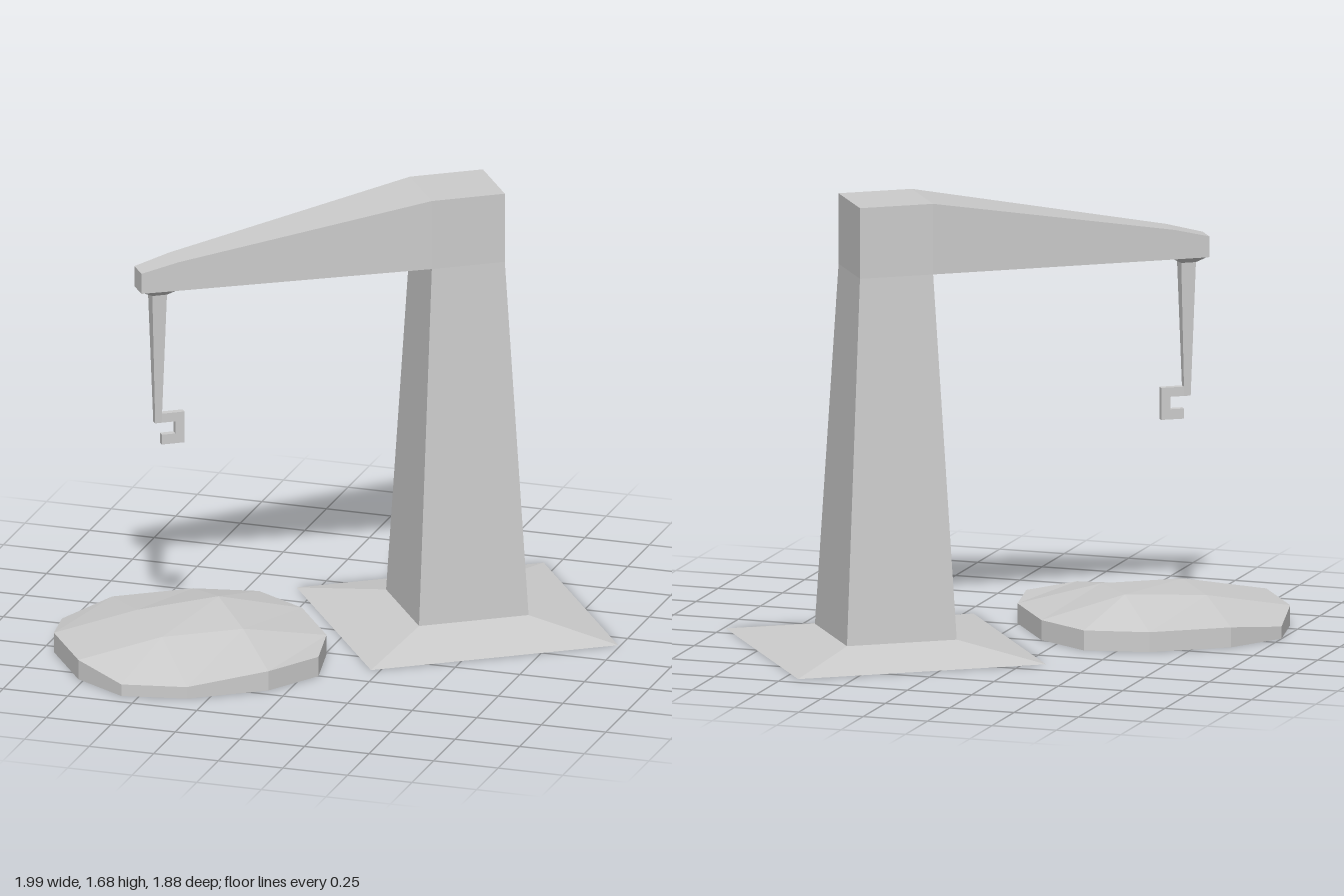
import * as THREE from 'three';

const material = new THREE.MeshStandardMaterial({ color: 0xcccccc, flatShading: true });

function addMesh(parent, name, geometry) {
  const flat = geometry.toNonIndexed();
  flat.computeVertexNormals();
  const mesh = new THREE.Mesh(flat, material);
  mesh.name = name;
  parent.add(mesh);
  return mesh;
}

// Box whose vertices are moved by a rule
function shapedBox(segX, segZ, rule) {
  const g = new THREE.BoxGeometry(1, 1, 1, segX, 1, segZ);
  const p = g.attributes.position;
  for (let i = 0; i < p.count; i++) {
    p.setXYZ(i, ...rule(p.getX(i), p.getY(i), p.getZ(i)));
  }
  return g;
}

// Four-sided frustum; each end is [y, half width x, half width z]
function frustum(bottom, top) {
  return shapedBox(1, 1, (x, y, z) => {
    const [h, hx, hz] = y > 0 ? top : bottom;
    return [Math.sign(x) * hx, h, Math.sign(z) * hz];
  });
}

export function createModel() {
  const model = new THREE.Group();
  const turn = 0.615;

  // Crane: arm points along its own -x
  const crane = new THREE.Group();
  crane.name = 'crane';
  crane.position.set(0.33, 0, -0.2825);
  crane.rotation.y = turn;
  model.add(crane);

  addMesh(crane, 'basePlinth', frustum([0, 0.474, 0.474], [0.055, 0.21, 0.21]));
  addMesh(crane, 'column', frustum([0.055, 0.21, 0.21], [1.415, 0.14, 0.14]));

  // Column head and tapering arm: [x, half width, underside, top]
  const sections = [
    [-1.225, 0.045, 1.397, 1.475],
    [-1.087, 0.057, 1.399, 1.51],
    [-0.14, 0.14, 1.415, 1.68],
    [0.14, 0.14, 1.415, 1.68],
  ];
  addMesh(crane, 'arm', shapedBox(3, 1, (x, y, z) => {
    const [sx, w, low, high] = sections[Math.round((x + 0.5) * 3)];
    return [sx, y > 0 ? high : low, Math.sign(z) * w];
  }));

  // Hanging collar and tapered cable
  const cableX = -1.15;
  addMesh(crane, 'cableCollar', frustum([1.378, 0.028, 0.028], [1.398, 0.065, 0.046])).position.x = cableX;
  addMesh(crane, 'cable', frustum([0.875, 0.0125, 0.0125], [1.378, 0.028, 0.028])).position.x = cableX;

  // C-shaped hook, open toward the arm tip
  const outline = [
    [-1.139, 0.91], [-1.05, 0.91], [-1.05, 0.79], [-1.137, 0.79],
    [-1.137, 0.828], [-1.085, 0.828], [-1.085, 0.875], [-1.139, 0.875],
  ].map(([x, y]) => new THREE.Vector2(x, y));
  const hook = new THREE.ExtrudeGeometry(new THREE.Shape(outline), { depth: 0.025, bevelEnabled: false });
  addMesh(crane, 'hook', hook.translate(0, 0, -0.0125));

  // Low faceted mound: a 3 x 3 grid with pulled-in corners
  const mound = shapedBox(3, 3, (x, y, z) => {
    const outerX = Math.abs(x) > 0.3, outerZ = Math.abs(z) > 0.3;
    const reach = outerX && outerZ ? 0.378 : 0.476;
    const px = Math.sign(x) * (outerX ? reach : 0.156);
    const pz = Math.sign(z) * (outerZ ? reach : 0.156);
    let h = 0;
    if (y > 0) {
      if (!outerX && !outerZ) h = x > 0 && z < 0 ? 0.153 : 0.132;
      else h = (outerX && outerZ && x < 0) || (outerZ && z > 0 && x < 0) ? 0.045 : 0.075;
    }
    return [px, h, pz];
  });
  const moundMesh = addMesh(model, 'mound', mound);
  moundMesh.position.set(-0.4725, 0, 0.411);
  moundMesh.rotation.y = turn;

  return model;
}
